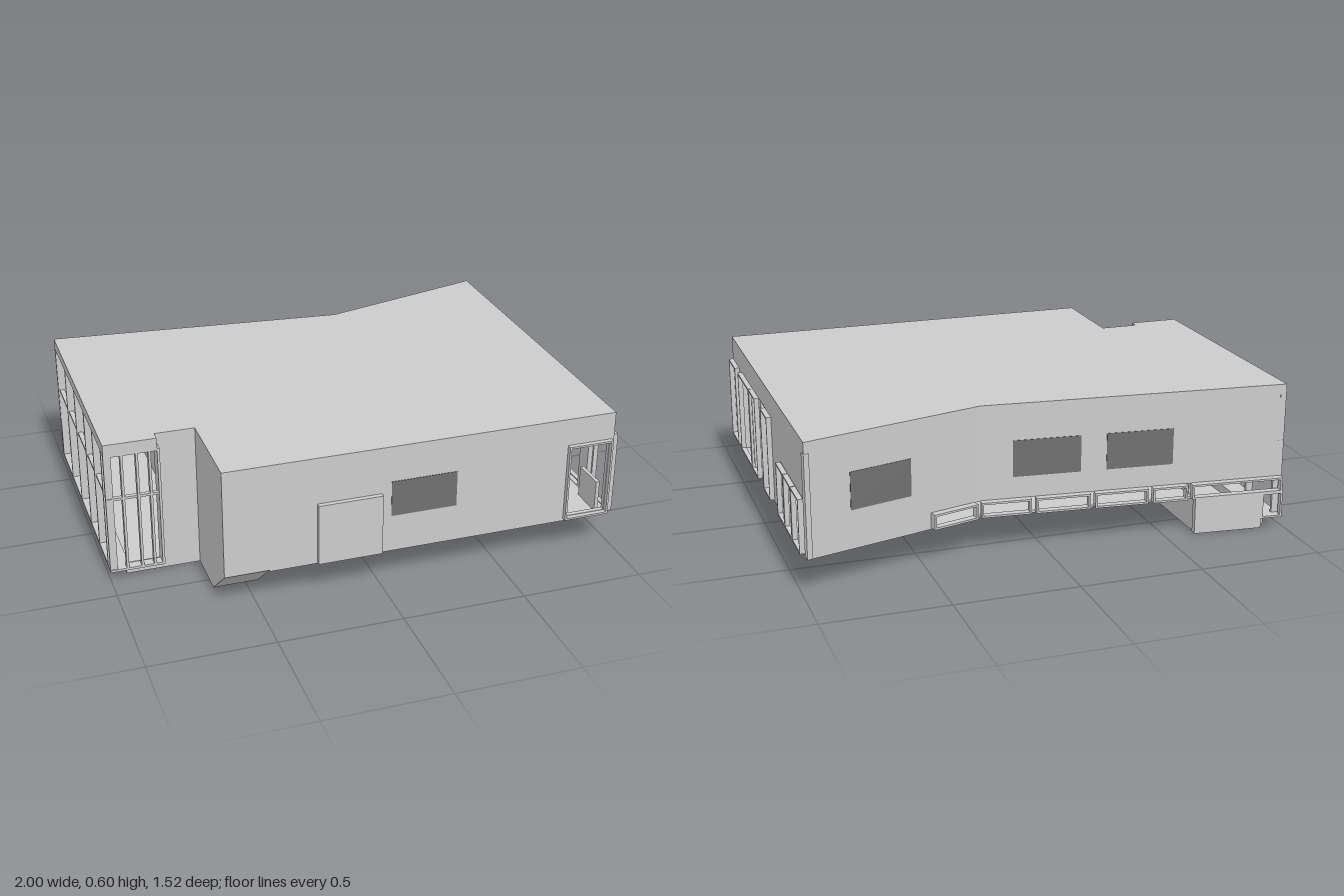
import * as THREE from 'three';

const mat = (color) => new THREE.MeshStandardMaterial({ color, side: THREE.DoubleSide, flatShading: true });
const grey = mat(0xcccccc), dark = mat(0x707070), wood = mat(0xb58a4a);
const T = 0.02; // wall thickness

function add(parent, name, geometry, material = grey) {
  const m = new THREE.Mesh(geometry, material);
  m.name = name;
  parent.add(m);
  return m;
}

// Box given by its limits
function box(parent, name, x0, x1, y0, y1, z0, z1, material) {
  const m = add(parent, name, new THREE.BoxGeometry(x1 - x0, y1 - y0, z1 - z0), material);
  m.position.set((x0 + x1) / 2, (y0 + y1) / 2, (z0 + z1) / 2);
  return m;
}

const shapeOf = (pts) => new THREE.Shape(pts.map(([x, y]) => new THREE.Vector2(x, y)));
const rect = (a, b, c, d) => [[a, c], [b, c], [b, d], [a, d]];

function plate(pts, depth, holes = []) {
  const s = shapeOf(pts);
  for (const h of holes) s.holes.push(shapeOf(rect(...h)));
  return new THREE.ExtrudeGeometry(s, { depth, bevelEnabled: false });
}

// Horizontal slab from a plan outline of [x, z] points
function slab(parent, name, plan, y0, y1) {
  const g = plate(plan.map(([x, z]) => [x, -z]), y1 - y0);
  add(parent, name, g.rotateX(-Math.PI / 2)).position.y = y0;
}

// Upright wall from a to b in plan; local +z of the group points outward
function wall(parent, name, a, b, y0, y1, holes = []) {
  const dx = b[0] - a[0], dz = b[1] - a[1], len = Math.hypot(dx, dz);
  const g = new THREE.Group();
  g.name = name;
  g.position.set(a[0], 0, a[1]);
  g.rotation.y = Math.atan2(-dz, dx);
  add(g, name + 'Panel', plate(rect(0, len, y0, y1), T, holes)).position.z = -T;
  parent.add(g);
  return g;
}

// Rectangular ring around an opening, in a wall's own coordinates
function frame(parent, name, u0, u1, y0, y1, depth = 0.025, bar = 0.008) {
  add(parent, name, plate(rect(u0, u1, y0, y1), depth, [[u0 + bar, u1 - bar, y0 + bar, y1 - bar]]));
}

// Plate upright in the z-y plane at a given x
function sidePlate(parent, name, x, pts, depth) {
  const g = plate(pts.map(([z, y]) => [-z, y]), depth).rotateY(Math.PI / 2);
  add(parent, name, g).position.x = x;
}

function beam(parent, name, a, b, size, material) {
  const p = new THREE.Vector3(...a), q = new THREE.Vector3(...b);
  const m = add(parent, name, new THREE.BoxGeometry(size, size, p.distanceTo(q)), material);
  m.position.copy(p).add(q).multiplyScalar(0.5);
  m.lookAt(q);
}

export function createModel() {
  const model = new THREE.Group();
  model.name = 'building';
  const F = 0.15, C = 0.555; // floor and ceiling heights

  slab(model, 'roof', [[-1, -0.68], [0.25, -0.56], [0.98, -0.76], [0.98, 0.74], [-0.63, 0.74],
    [-0.63, 0.35], [-0.79, 0.35], [-0.79, 0.39], [-1, 0.39]], C, 0.6);
  slab(model, 'mainFloor', [[-0.63, -0.645], [0.25, -0.56], [0.98, -0.76], [0.98, 0.74], [-0.45, 0.74],
    [-0.45, 0.53], [-0.3, 0.53], [-0.3, 0.155], [-0.63, 0.155]], F - 0.006, F + 0.004);

  // Front wall with door leaf, dark panel and corner window
  const front = wall(model, 'frontWall', [-0.63, 0.74], [0.98, 0.74], F, C, [[1.42, 1.59, 0.165, 0.475]]);
  box(front, 'frontDoor', 0.37, 0.63, F, 0.405, 0, 0.02);
  box(front, 'darkPanel', 0.67, 0.94, 0.3, 0.45, -T - 0.002, 0.002, dark);
  frame(front, 'cornerWindowFrame', 1.41, 1.6, 0.155, 0.485, 0.02);

  // Right wall with three groups of glazing
  const right = wall(model, 'rightWall', [0.98, 0.74], [0.98, -0.76], F, C,
    [[0.01, 0.16, 0.155, 0.5], [0.23, 0.88, 0.155, 0.5], [1.04, 1.46, 0.155, 0.37]]);
  for (const [u0, u1] of [[0.005, 0.16], [0.23, 0.48], [0.49, 0.62], [0.75, 0.88]])
    frame(right, 'tallWindowFrame', u0, u1, 0.152, 0.5, 0.02);
  for (let i = 0; i < 3; i++) frame(right, 'lowWindowFrame', 1.04 + i * 0.14, 1.175 + i * 0.14, 0.152, 0.368, 0.02);
  box(right, 'glazingPost', 0.475, 0.505, F, 0.5, -T, 0.01);
  const door = new THREE.Group();
  door.name = 'sideDoor';
  door.position.z = -T;
  frame(door, 'sideDoorFrame', 0.625, 0.745, 0.155, 0.495, 0.015, 0.006);
  right.add(door);
  box(model, 'cornerHalfWall', 0.93, 0.945, F, 0.285, 0.58, 0.72);

  // Bent back wall: strip of low window boxes under it
  const backRight = wall(model, 'backWallRight', [0.98, -0.76], [0.25, -0.56], 0.21, C);
  box(backRight, 'lowerBackWall', 0, 0.53, F, 0.21, -T, 0);
  box(backRight, 'darkPanel', 0.185, 0.445, 0.3, 0.45, -T - 0.002, 0.002, dark);
  frame(backRight, 'stripWindow', 0.53, 0.73, F, 0.212, 0.03);
  const backLeft = wall(model, 'backWallLeft', [0.25, -0.56], [-1, -0.68], 0.21, C);
  for (const u of [0.13, 0.51]) box(backLeft, 'darkPanel', u, u + 0.275, 0.3, 0.45, -T - 0.002, 0.002, dark);
  for (const [u0, u1] of [[0, 0.2], [0.22, 0.44], [0.46, 0.68], [0.7, 0.845], [0.865, 1.25]])
    frame(backLeft, 'stripWindow', u0, u1, F, 0.212, 0.03);
  box(backLeft, 'lowerHallBackWall', 0.88, 1.165, 0, F, -0.005, 0.025);
  frame(backLeft, 'lowerHallBackFrame', 1.165, 1.255, 0.04, F, 0.025);

  // Solid walls of the stepped front left corner
  box(model, 'recessWall', -0.79, -0.63, 0, C, 0.35 - T, 0.35);
  box(model, 'recessReturn', -0.79, -0.78, 0.04, C, 0.35, 0.39);
  box(model, 'recessSideWall', -0.63, -0.63 + T, F, C, 0.33, 0.74 - T);

  // Sunken hall: bottom, side walls, sloped end
  const hall = new THREE.Group();
  hall.name = 'lowerHall';
  model.add(hall);
  slab(hall, 'hallFloor', [[-0.93, -0.67], [-0.63, -0.645], [-0.63, 0.155], [-0.3, 0.155], [-0.3, 0.34],
    [-0.45, 0.34], [-0.45, 0.56], [-0.63, 0.56], [-0.63, 0.35], [-0.93, 0.35]], 0, 0.01);
  box(hall, 'hallLongWall', -0.64, -0.63, 0, F, -0.645, 0.155);
  box(hall, 'hallCrossWall', -0.64, -0.3, 0, F, 0.155, 0.165);
  box(hall, 'hallKerb', -0.93, -0.92, 0, 0.045, -0.67, 0.35);
  box(hall, 'hallFrontKerb', -0.93, -0.79, 0, 0.045, 0.34, 0.35);
  slab(hall, 'ledge', [[-1, -0.7], [-0.92, -0.69], [-0.92, 0.35], [-0.79, 0.35], [-0.79, 0.39], [-1, 0.39]], 0.038, 0.048);
  for (const [x, z] of [[-0.63, 0.34], [-0.46, 0.34]])
    sidePlate(hall, 'slopeCheek', x, [[z, 0], [0.56, 0], [0.74, F], [z, F]], 0.01);
  sidePlate(hall, 'slopedSoffit', -0.63, [[0.56, 0], [0.74, F], [0.728, F], [0.55, 0.01]], 0.18);

  // Stair with a stepped underside, and its side wall
  const n = 8, tread = 0.19 / n, rise = F / n, lower = [];
  for (let i = 0; i < n; i++) lower.push([0.34 + i * tread, i * rise], [0.34 + i * tread, (i + 1) * rise]);
  lower.push([0.53, F]);
  const upper = lower.map(([z, y]) => [z - 0.004, y + 0.004]).reverse();
  sidePlate(hall, 'stair', -0.45, [...lower, ...upper], 0.15);
  sidePlate(hall, 'stairSideWall', -0.306, [[0.155, 0], ...lower, [0.155, F]], 0.006);

  // Glazed left side and its short front return
  const glazing = new THREE.Group();
  glazing.name = 'leftGlazing';
  model.add(glazing);
  for (const z of [0.38, 0.335, 0.16, -0.015, -0.225, -0.435, -0.66])
    box(glazing, 'post', -1, -0.97, 0.04, C, z - 0.006, z + 0.006);
  for (const x of [-0.93, -0.87, -0.82]) box(glazing, 'frontPost', x - 0.005, x + 0.005, 0.04, C, 0.365, 0.39);
  for (const y of [0.355, 0.545]) {
    box(glazing, 'rail', -0.995, -0.975, y, y + 0.01, -0.68, 0.39);
    box(glazing, 'frontRail', -1, -0.79, y, y + 0.01, 0.37, 0.388);
  }

  // Wooden railing around the opening in the floor
  const railing = new THREE.Group();
  railing.name = 'railing';
  model.add(railing);
  const ry = 0.257;
  beam(railing, 'handrail', [-0.62, ry, -0.3], [-0.62, ry, 0.155], 0.014, wood);
  beam(railing, 'handrail', [-0.62, ry, 0.15], [-0.29, ry, 0.15], 0.014, wood);
  beam(railing, 'handrail', [-0.29, ry, 0.15], [-0.29, ry, 0.51], 0.014, wood);
  beam(railing, 'stairRail', [-0.31, 0.25, 0.51], [-0.31, 0.1, 0.34], 0.01, wood);
  for (const [x, z] of [[-0.62, -0.2], [-0.62, -0.02], [-0.62, 0.15], [-0.29, 0.15], [-0.29, 0.33], [-0.29, 0.5]])
    box(railing, 'railingPost', x - 0.005, x + 0.005, F, ry, z - 0.005, z + 0.005, wood);
  box(model, 'lowPartition', -0.63, -0.615, F, 0.265, -0.62, -0.3);
  return model;
}
